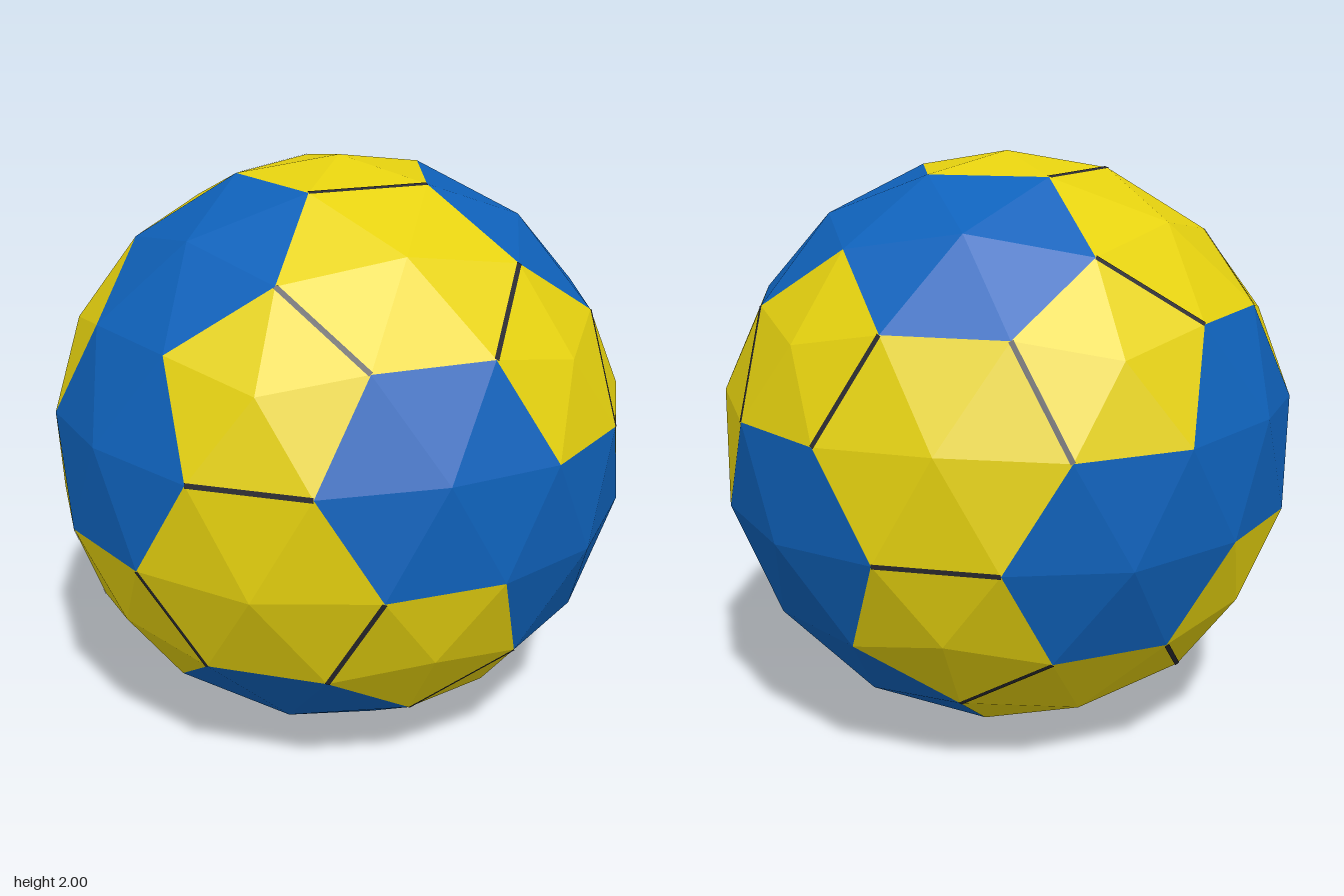
import * as THREE from 'three';

const yellow = new THREE.MeshStandardMaterial({ color: 0xe6d20f });
yellow.name = 'yellow panel';
const blue = new THREE.MeshStandardMaterial({ color: 0x0f62bb });
blue.name = 'blue panel';
const dark = new THREE.MeshStandardMaterial({ color: 0x2a2a30 });
dark.name = 'dark seam';

// Flat-shaded geometry from a list of triangle corners
function facets(points) {
  const geometry = new THREE.BufferGeometry().setFromPoints(points);
  geometry.computeVertexNormals();
  return geometry;
}

// Panel: a fan from a centre raised to the unit sphere, corners sorted anticlockwise
function panel(corners) {
  const n = new THREE.Vector3();
  corners.forEach((c) => n.add(c));
  n.normalize();
  const u = corners[0].clone().projectOnPlane(n).normalize();
  const v = n.clone().cross(u);
  const angle = (p) => Math.atan2(p.dot(v), p.dot(u));
  const ring = [...corners].sort((a, b) => angle(a) - angle(b));
  return facets(ring.flatMap((p, i) => [n, p, ring[(i + 1) % ring.length]]));
}

// Seam: a narrow flat strip lying along the edge between two panels
function seam(a, b, width = 0.017) {
  const out = a.clone().add(b).normalize();
  const side = b.clone().sub(a).cross(out).setLength(width / 2);
  const lift = out.clone().multiplyScalar(0.0015);
  const at = (p, s) => p.clone().add(lift).addScaledVector(side, s);
  const [p, q, r, t] = [at(a, 1), at(b, 1), at(b, -1), at(a, -1)];
  return facets([p, q, r, p, r, t]);
}

export function createModel() {
  const group = new THREE.Group();
  group.name = 'ball';
  const add = (name, geometry, material) => {
    const mesh = new THREE.Mesh(geometry, material);
    mesh.name = name;
    mesh.position.y = 1;
    group.add(mesh);
  };

  // Twelve pentagon directions: two poles and two staggered rings
  const h = 1 / Math.sqrt(5);
  const ringPoint = (degrees, y) => {
    const a = THREE.MathUtils.degToRad(degrees);
    return new THREE.Vector3(2 * h * Math.cos(a), y, 2 * h * Math.sin(a));
  };
  const top = new THREE.Vector3(0, 1, 0);
  const bottom = new THREE.Vector3(0, -1, 0);
  const upper = [0, 1, 2, 3, 4].map((k) => ringPoint(72 * k, h));
  const lower = [0, 1, 2, 3, 4].map((k) => ringPoint(72 * k + 36, -h));
  const hubs = [top, ...upper, ...lower, bottom];

  // Panel corner a third of the way from one hub to the next
  const corner = (a, b) => a.clone().lerp(b, 1 / 3).normalize();

  // Pentagons
  for (const hub of hubs) {
    const near = hubs.filter((o) => o !== hub && o.distanceTo(hub) < 1.2);
    add('pentagonPanel', panel(near.map((o) => corner(hub, o))), yellow);
  }

  // Hexagons in four bands, two yellow in each band
  const bands = [
    { yellowAt: [1, 3], hubs: (k, next) => [top, upper[k], upper[next]] },
    { yellowAt: [0, 4], hubs: (k, next) => [upper[k], upper[next], lower[k]] },
    { yellowAt: [2, 3], hubs: (k, next, prev) => [upper[k], lower[prev], lower[k]] },
    { yellowAt: [1, 4], hubs: (k, next, prev) => [bottom, lower[prev], lower[k]] },
  ];
  for (const band of bands) {
    for (let k = 0; k < 5; k++) {
      const [a, b, c] = band.hubs(k, (k + 1) % 5, (k + 4) % 5);
      const isYellow = band.yellowAt.includes(k);
      const corners = [[a, b], [b, a], [b, c], [c, b], [c, a], [a, c]].map(([p, q]) => corner(p, q));
      add(isYellow ? 'yellowHexagonPanel' : 'blueHexagonPanel', panel(corners), isYellow ? yellow : blue);

      // Dark seams where a yellow hexagon meets a pentagon
      if (isYellow) {
        for (const [p, q, r] of [[a, b, c], [b, c, a], [c, a, b]]) {
          add('seam', seam(corner(p, q), corner(p, r)), dark);
        }
      }
    }
  }
  return group;
}
